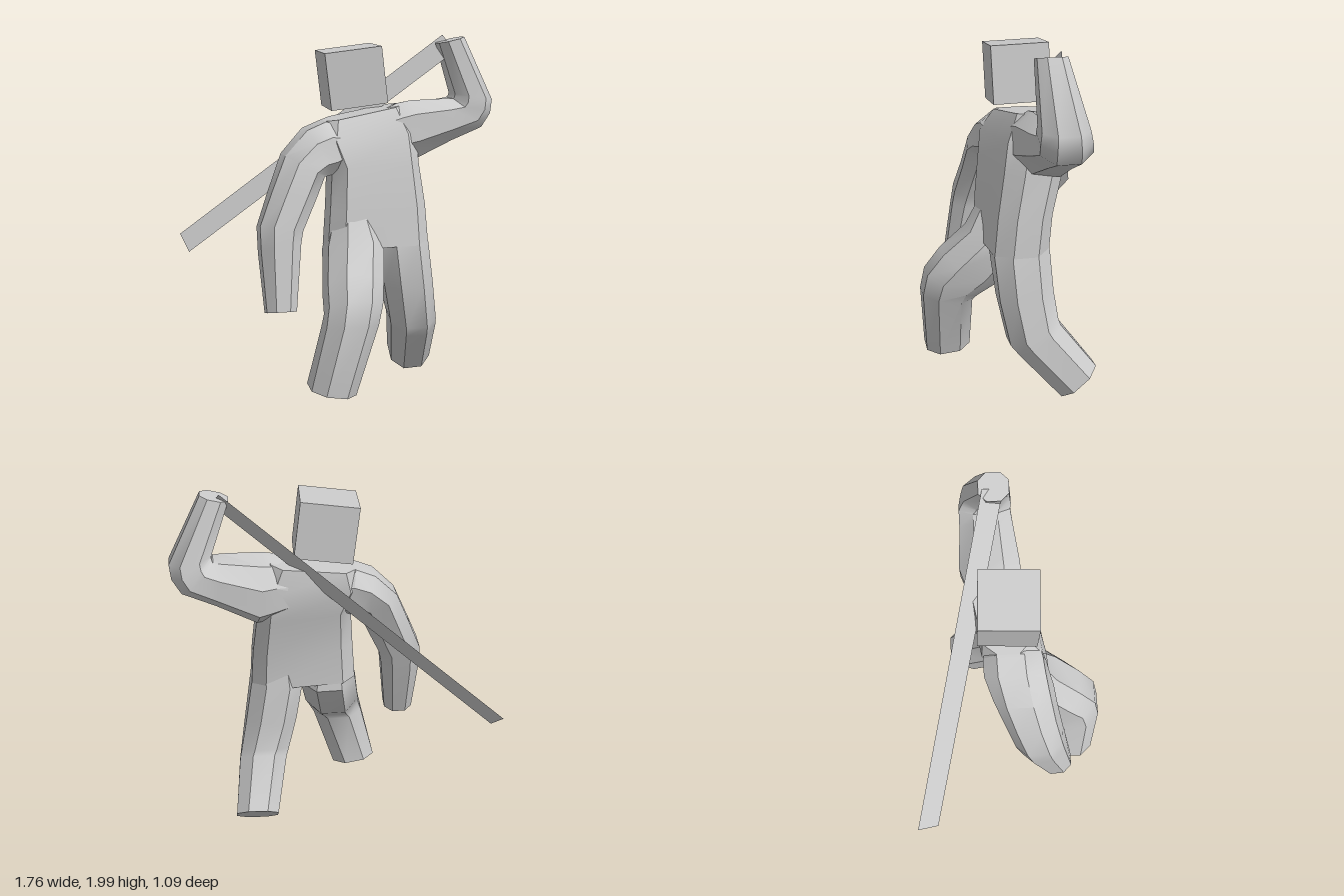
import * as THREE from 'three';
import { toCreasedNormals } from 'three/addons/utils/BufferGeometryUtils.js';

const material = new THREE.MeshStandardMaterial({ color: 0xcccccc });
const thin = new THREE.MeshStandardMaterial({ color: 0xcccccc, side: THREE.DoubleSide });

// Lofts chamfered octagonal sections. Each one is [x1,y1,z1, x2,y2,z2, dy,dz]:
// the two ends of its width, then its half-depth vector.
// flat is the share of the width left flat between the chamfers.
function loft(name, flat, sections) {
  const k = 0.46;
  const octagon = [[1, -k], [1, k], [flat, 1], [-flat, 1], [-1, k], [-1, -k], [-flat, -1], [flat, -1]];
  const rings = sections.map(([x1, y1, z1, x2, y2, z2, dy, dz]) => {
    const a = new THREE.Vector3(x1, y1, z1), b = new THREE.Vector3(x2, y2, z2);
    return {
      c: a.clone().add(b).multiplyScalar(0.5),
      u: a.clone().sub(b).multiplyScalar(0.5),
      v: new THREE.Vector3(0, dy, dz),
    };
  });
  // keep the faces pointing outward whichever way the loft runs
  const axis = rings[1].c.clone().sub(rings[0].c);
  const flip = rings[0].u.clone().cross(rings[0].v).dot(axis) < 0 ? -1 : 1;
  const positions = [], index = [], n = octagon.length;
  for (const { c, u, v } of rings) {
    for (const [s, t] of octagon) {
      const p = c.clone().addScaledVector(u, s).addScaledVector(v, t * flip);
      positions.push(p.x, p.y, p.z);
    }
  }
  for (let r = 0; r < rings.length - 1; r++) {
    for (let i = 0; i < n; i++) {
      const a = r * n + i, b = r * n + (i + 1) % n;
      index.push(a, b, b + n, a, b + n, a + n);
    }
  }
  const last = (rings.length - 1) * n;
  for (let i = 1; i < n - 1; i++) {
    index.push(0, i + 1, i, last, last + i, last + i + 1);
  }
  const geometry = new THREE.BufferGeometry();
  geometry.setAttribute('position', new THREE.Float32BufferAttribute(positions, 3));
  geometry.setIndex(index);
  const mesh = new THREE.Mesh(toCreasedNormals(geometry, 0.6), material);
  mesh.name = name;
  return mesh;
}

export function createModel() {
  const model = new THREE.Group();
  model.name = 'figure';

  // torso, turned slightly with its right side forward
  model.add(loft('torso', 0.74, [
    [0.458, 0.83, 0.045, -0.14, 0.83, 0.095, 0, 0.15],
    [0.445, 1.05, 0.02, -0.125, 1.05, 0.09, 0, 0.15],
    [0.42, 1.28, -0.03, -0.11, 1.28, 0.065, 0, 0.16],
    [0.41, 1.46, -0.06, -0.17, 1.42, 0.035, 0, 0.165],
    [0.34, 1.61, -0.08, -0.13, 1.53, 0.0, 0, 0.125],
  ]));

  // raised left arm, rooted inside the chest
  model.add(loft('leftArm', 0.46, [
    [0.08, 1.52, -0.02, 0.08, 1.36, -0.02, 0, 0.11],
    [0.30, 1.61, -0.07, 0.35, 1.29, -0.05, 0.02, 0.155],
    [0.38, 1.62, -0.08, 0.42, 1.29, -0.07, 0.03, 0.165],
    [0.60, 1.635, -0.085, 0.64, 1.395, -0.085, 0.01, 0.145],
    [0.645, 1.638, -0.09, 0.82, 1.47, -0.09, 0, 0.14],
    [0.65, 1.645, -0.08, 0.87, 1.55, -0.08, 0, 0.135],
    [0.655, 1.665, -0.075, 0.88, 1.63, -0.075, 0, 0.125],
    [0.55, 1.955, -0.04, 0.70, 1.99, -0.04, 0, 0.08],
  ]));

  // lowered right arm, rooted inside the chest
  model.add(loft('rightArm', 0.46, [
    [0.02, 1.48, 0.03, 0.04, 1.32, 0.04, 0, 0.12],
    [-0.13, 1.53, 0.01, -0.08, 1.24, 0.06, 0, 0.16],
    [-0.24, 1.485, 0.015, -0.12, 1.24, 0.07, 0, 0.165],
    [-0.37, 1.35, 0.05, -0.16, 1.235, 0.10, 0, 0.155],
    [-0.46, 1.14, 0.10, -0.21, 1.12, 0.13, 0.01, 0.14],
    [-0.53, 0.97, 0.15, -0.295, 0.94, 0.17, 0.02, 0.13],
    [-0.53, 0.83, 0.18, -0.31, 0.87, 0.19, 0.03, 0.12],
    [-0.515, 0.51, 0.27, -0.35, 0.51, 0.27, 0.02, 0.085],
  ]));

  // left leg, trailing
  model.add(loft('leftLeg', 0.46, [
    [0.40, 1.08, 0.03, 0.22, 1.08, 0.04, 0, 0.11],
    [0.46, 0.83, 0.045, 0.165, 0.83, 0.055, 0, 0.155],
    [0.495, 0.60, 0.03, 0.205, 0.60, 0.03, -0.02, 0.15],
    [0.53, 0.395, -0.005, 0.255, 0.395, -0.005, -0.065, 0.135],
    [0.54, 0.35, -0.035, 0.27, 0.35, -0.035, -0.08, 0.117],
    [0.575, 0.10, -0.247, 0.335, 0.09, -0.247, -0.085, 0.098],
  ]));

  // right leg, stepping forward with a bent knee
  model.add(loft('rightLeg', 0.46, [
    [-0.08, 1.08, 0.08, 0.10, 1.08, 0.06, 0, 0.11],
    [-0.145, 0.83, 0.115, 0.175, 0.83, 0.105, 0.045, 0.175],
    [-0.185, 0.63, 0.28, 0.13, 0.63, 0.28, 0.10, 0.15],
    [-0.20, 0.53, 0.378, 0.10, 0.53, 0.378, 0.073, 0.143],
    [-0.22, 0.445, 0.402, 0.07, 0.445, 0.402, 0.025, 0.143],
    [-0.30, 0.11, 0.388, -0.05, 0.07, 0.388, -0.012, 0.128],
  ]));

  // floating cube head, tilted to one side
  const head = new THREE.Mesh(new THREE.BoxGeometry(0.32, 0.315, 0.315), material);
  head.name = 'head';
  head.position.set(0.03, 1.775, 0.005);
  head.rotation.set(0.03, -0.045, 0.125);
  model.add(head);

  // flat blade held behind the back
  const tip = new THREE.Vector3(-0.865, 0.775, -0.49);
  const grip = new THREE.Vector3(0.62, 1.955, -0.045);
  const along = grip.clone().sub(tip);
  const across = new THREE.Vector3(0.04, -0.09, 0.11).normalize();
  const blade = new THREE.Mesh(new THREE.PlaneGeometry(along.length(), 0.148), thin);
  blade.name = 'blade';
  blade.position.copy(tip).add(grip).multiplyScalar(0.5);
  along.normalize();
  const normal = along.clone().cross(across).normalize();
  blade.quaternion.setFromRotationMatrix(
    new THREE.Matrix4().makeBasis(along, normal.clone().cross(along), normal));
  model.add(blade);

  return model;
}
